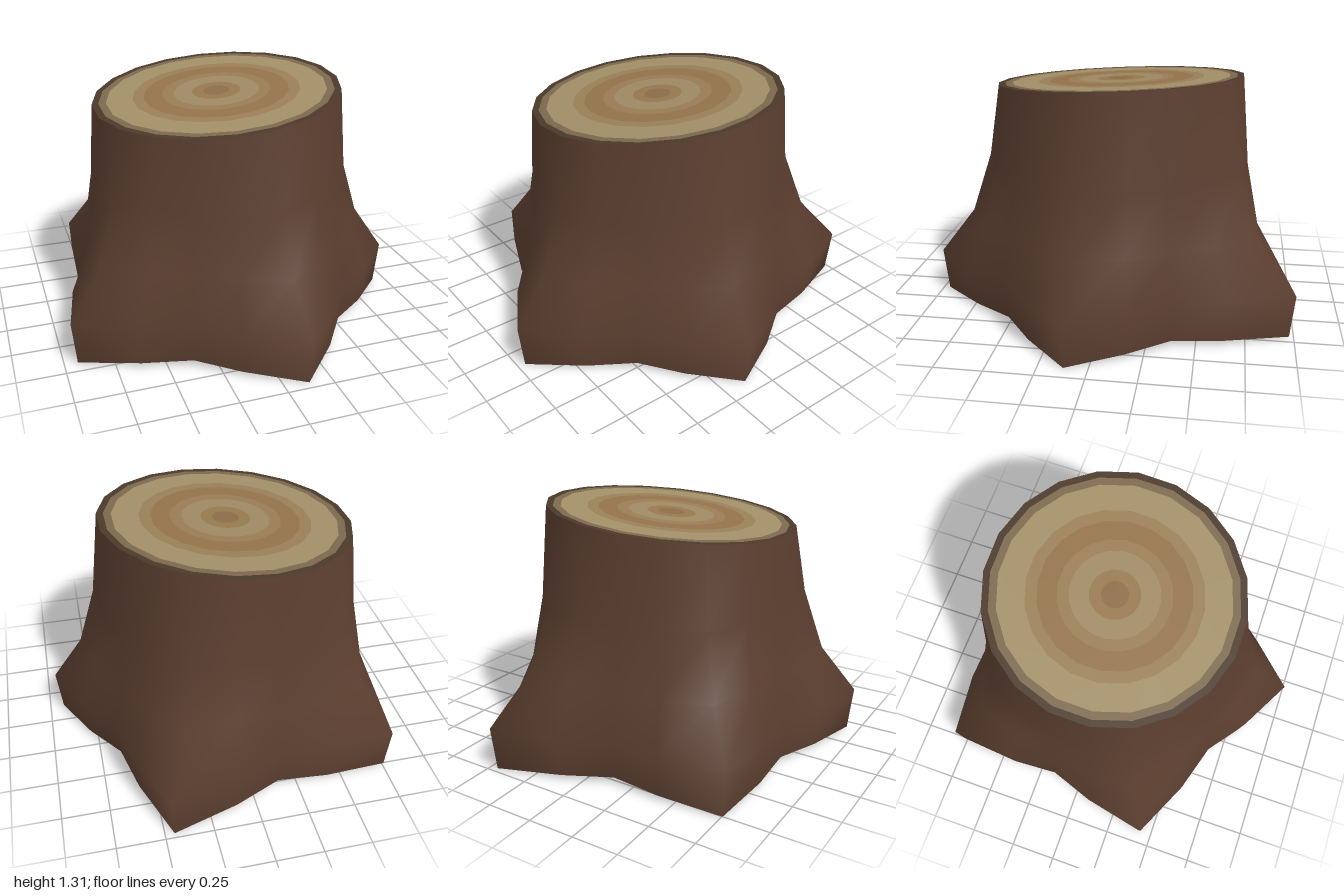
import * as THREE from 'three';

const SIDES = 20;
const CX = -0.03, CZ = -0.03;                   // trunk axis
const ROOTS = [0.21, 0.25, 0.257, 0.274, 0.307]; // reach of each root
const START = Math.PI / 20;                     // direction of the first root

// Slanted plane of the saw cut
const cutY = (x, z) => 1.245 + 0.083 * (x - CX) - 0.05 * (z - CZ);

// Cross-sections from ground to cut: height, base radius, share of the root reach
const RINGS = [
  [0.0, 0.755, 1],
  [0.24, 0.78, 1],
  [0.49, 0.725, 0.45],
  [0.82, 0.69, 0.15],
  [null, 0.665, 0],
];

function ringPoint([h, base, flare], i) {
  const spread = Math.abs(Math.cos((i * Math.PI) / 4)) ** 3; // 1 at a root tip, 0 in a valley
  const r = base + flare * spread * ROOTS[Math.round(i / 4) % 5];
  const a = START + (i * 2 * Math.PI) / SIDES;
  const x = CX + r * Math.cos(a), z = CZ + r * Math.sin(a);
  let y = h;
  if (h === null) y = cutY(x, z);
  else if (h === 0) y = 0.005 + 0.03 * (1 - spread); // valleys lift slightly off the ground
  return [x, y, z];
}

function buildGeometry(positions, index) {
  const g = new THREE.BufferGeometry();
  g.setAttribute('position', new THREE.Float32BufferAttribute(positions, 3));
  g.setIndex(index);
  g.computeVertexNormals();
  return g;
}

export function createModel() {
  const group = new THREE.Group();
  group.name = 'treeStump';
  const add = (name, geometry, color) => {
    const mesh = new THREE.Mesh(geometry, new THREE.MeshStandardMaterial({ color }));
    mesh.name = name;
    group.add(mesh);
  };

  // Bark wall with flaring roots
  const wall = [], wallIndex = [];
  RINGS.forEach((ring, k) => {
    for (let i = 0; i < SIDES; i++) {
      wall.push(...ringPoint(ring, i));
      if (k === RINGS.length - 1) continue;
      const a = k * SIDES + i, b = k * SIDES + ((i + 1) % SIDES);
      wallIndex.push(a, a + SIDES, b, b, a + SIDES, b + SIDES);
    }
  });
  add('bark', buildGeometry(wall, wallIndex), 0x5c3f30);

  // Underside
  const base = [CX, 0, CZ], baseIndex = [];
  for (let i = 0; i < SIDES; i++) {
    base.push(...ringPoint(RINGS[0], i));
    baseIndex.push(0, i + 1, ((i + 1) % SIDES) + 1);
  }
  add('underside', buildGeometry(base, baseIndex), 0x4a3328);

  // Growth rings on the cut face: outer radius, colour
  const bands = [
    [0.07, 0x8c6d48], [0.13, 0x97794f], [0.23, 0xa08a64], [0.29, 0x9a7d55],
    [0.39, 0x94734b], [0.45, 0x9a8058], [0.59, 0xa39069], [0.63, 0x7c6a4e], [0.665, 0x4c3a2b],
  ];
  let inner = 0;
  bands.forEach(([outer, color], n) => {
    const g = inner === 0
      ? new THREE.CircleGeometry(outer, SIDES, START)
      : new THREE.RingGeometry(inner, outer, SIDES, 1, START);
    g.rotateX(-Math.PI / 2).translate(CX, 0, CZ);
    const p = g.attributes.position;
    for (let i = 0; i < p.count; i++) p.setY(i, cutY(p.getX(i), p.getZ(i)));
    g.computeVertexNormals();
    add('growthRing' + (n + 1), g, color);
    inner = outer;
  });

  return group;
}
